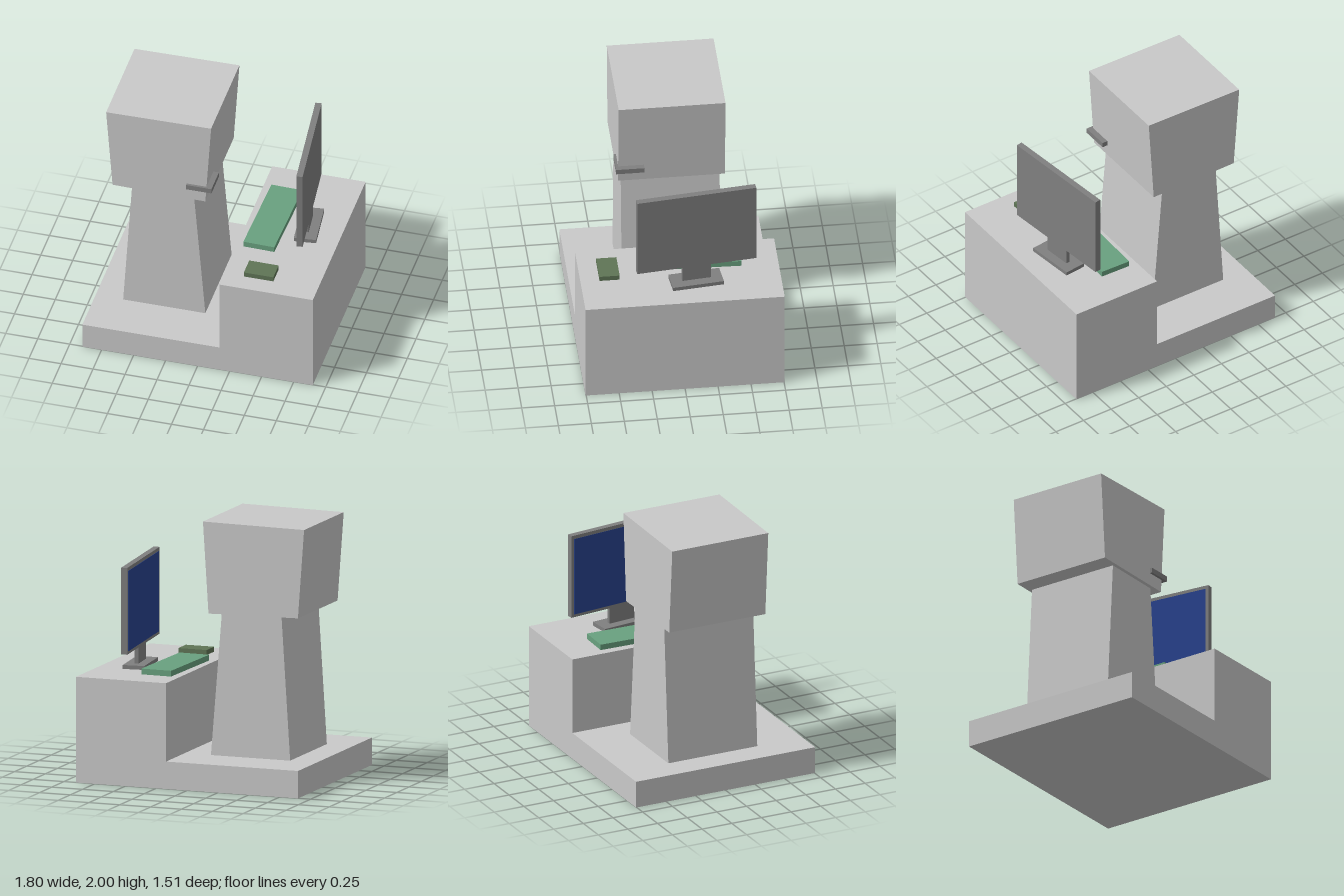
import * as THREE from 'three';

const mat = (name, color) => {
  const m = new THREE.MeshStandardMaterial({ color });
  m.name = name;
  return m;
};

export function createModel() {
  const model = new THREE.Group();
  model.name = 'figureAtDesk';
  const lightGrey = mat('lightGrey', 0xc9c9c9);
  const darkGrey = mat('darkGrey', 0x808080);
  const screenBlue = mat('screenBlue', 0x28438f);
  const green = mat('green', 0x69a17f);
  const olive = mat('olive', 0x5f7556);

  const add = (parent, name, geometry, material) => {
    const mesh = new THREE.Mesh(geometry, material);
    mesh.name = name;
    parent.add(mesh);
    return mesh;
  };

  // Front outline pushed straight through in z, centred
  const slab = (name, points, depth, material) => {
    const shape = new THREE.Shape(points.map(([x, y]) => new THREE.Vector2(x, y)));
    const geo = new THREE.ExtrudeGeometry(shape, { depth, bevelEnabled: false });
    geo.translate(0, 0, -depth / 2);
    return add(model, name, geo, material);
  };

  // Box standing on height y
  const box = (parent, name, [w, h, d], [x, y, z], material) => {
    const mesh = add(parent, name, new THREE.BoxGeometry(w, h, d), material);
    mesh.position.set(x, y + h / 2, z);
    return mesh;
  };

  // Floor slab and desk in one stepped block
  slab('deskAndFloor', [[-0.9, 0], [0.9, 0], [0.9, 0.81], [0.17, 0.81], [0.17, 0.21], [-0.9, 0.21]], 1.51, lightGrey);

  // Tapered body and flared head
  slab('body', [[-0.685, 0.21], [-0.043, 0.21], [-0.132, 1.31], [-0.615, 1.31]], 0.75, lightGrey);
  slab('head', [[-0.76, 1.31], [-0.035, 1.298], [0.01, 2], [-0.81, 1.99]], 0.81, lightGrey);

  // Mouth bar wrapping round the head's front corner
  const mouth = new THREE.Shape([[-0.18, -0.425], [0.018, -0.425], [0.018, -0.21],
    [-0.03, -0.21], [-0.03, -0.395], [-0.18, -0.395]].map(([x, y]) => new THREE.Vector2(x, y)));
  const mouthGeo = new THREE.ExtrudeGeometry(mouth, { depth: 0.04, bevelEnabled: false });
  mouthGeo.rotateX(-Math.PI / 2);
  add(model, 'mouth', mouthGeo, darkGrey).position.y = 1.4;

  // Monitor, turned slightly, with its screen facing the figure
  const monitor = new THREE.Group();
  monitor.name = 'monitor';
  monitor.position.set(0.633, 0.81, -0.113);
  monitor.rotation.y = 0.11;
  model.add(monitor);
  box(monitor, 'monitorFoot', [0.17, 0.03, 0.392], [0, 0, 0], darkGrey);
  box(monitor, 'monitorNeck', [0.03, 0.13, 0.22], [0, 0.03, 0], darkGrey);
  box(monitor, 'monitorPanel', [0.048, 0.665, 0.92], [0, 0.16, 0], darkGrey);
  box(monitor, 'screen', [0.004, 0.615, 0.87], [-0.025, 0.183, 0], screenBlue);

  // Keyboard and mouse
  box(model, 'keyboard', [0.243, 0.044, 0.735], [0.351, 0.81, -0.111], green).rotation.y = -0.025;
  box(model, 'mouse', [0.23, 0.038, 0.153], [0.437, 0.81, 0.534], olive);

  return model;
}
